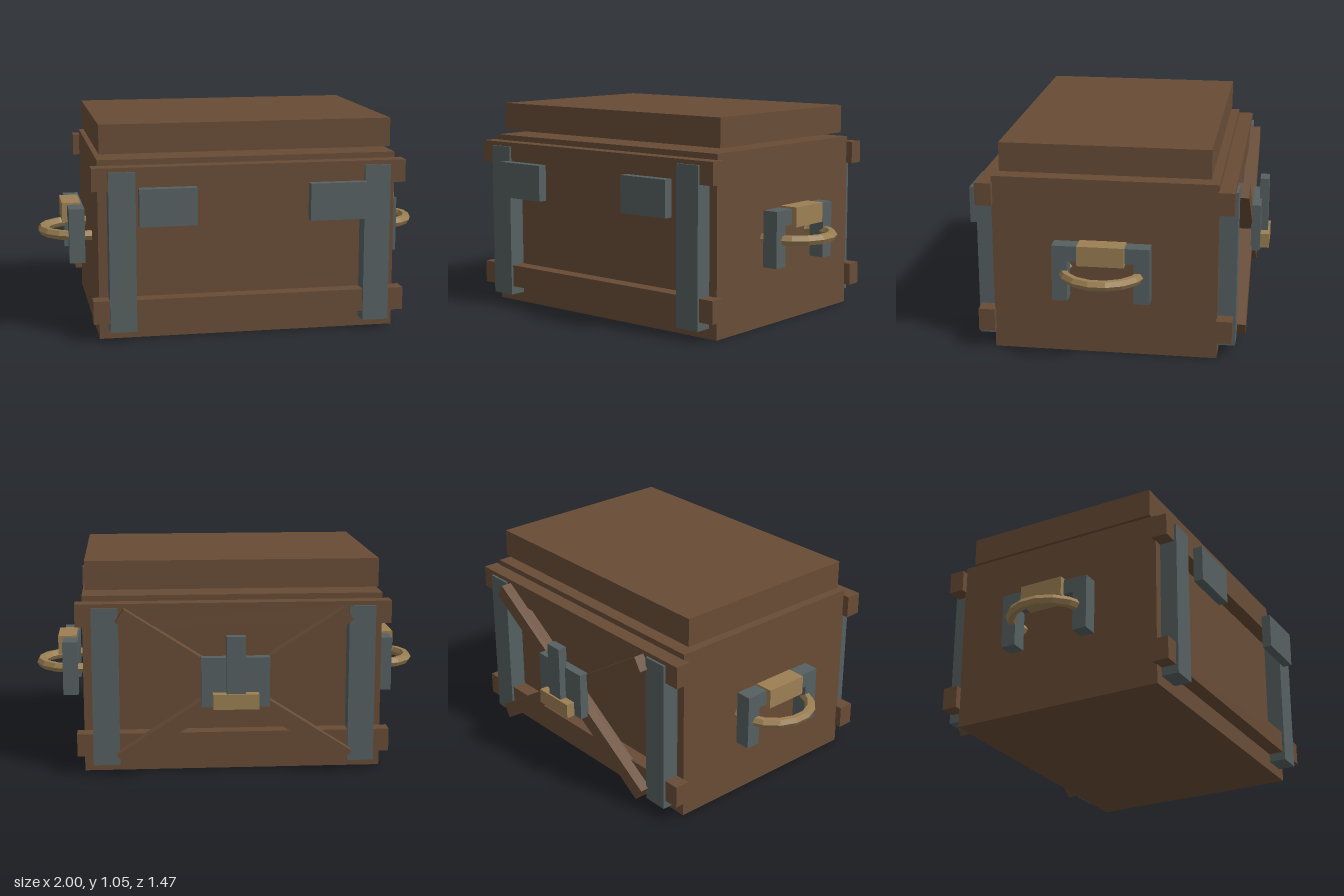
import * as THREE from 'three';

export function createModel() {
  const model = new THREE.Group();
  model.name = 'crate';

  const mat = (name, color) => {
    const m = new THREE.MeshStandardMaterial({ color });
    m.name = name;
    return m;
  };
  const wood = mat('brown wood', 0x684c36);
  const steel = mat('grey steel', 0x566061);
  const brass = mat('dull brass', 0x9c8054);
  const ringMat = brass.clone();
  ringMat.name = 'dull brass faceted';
  ringMat.flatShading = true;

  // Box given by its extents on each axis
  const box = (name, material, [x0, x1], [y0, y1], [z0, z1], parent = model) => {
    const mesh = new THREE.Mesh(new THREE.BoxGeometry(x1 - x0, y1 - y0, z1 - z0), material);
    mesh.position.set((x0 + x1) / 2, (y0 + y1) / 2, (z0 + z1) / 2);
    mesh.name = name;
    parent.add(mesh);
    return mesh;
  };

  // Chest and raised lid
  box('body', wood, [-0.74, 0.74], [0, 0.885], [-0.519, 0.581]);
  box('lid', wood, [-0.726, 0.726], [0.907, 1.05], [-0.479, 0.542]);

  // Horizontal rails and vertical straps, front and back
  const faces = [
    { label: 'front', rail: [0.575, 0.656], strap: [0.575, 0.668] },
    { label: 'back', rail: [-0.594, -0.515], strap: [-0.606, -0.515] },
  ];
  for (const { label, rail, strap } of faces) {
    box(label + 'LowerRail', wood, [-0.774, 0.774], [0.095, 0.208], rail);
    box(label + 'UpperRail', wood, [-0.774, 0.774], [0.745, 0.857], rail);
    for (const s of [-1, 1]) {
      const x = s * 0.63;
      box(label + 'Strap', steel, [x - 0.065, x + 0.065], [0.052, 0.836], strap);
    }
  }

  // Front latch plates
  for (const s of [-1, 1]) {
    const x = s * 0.416;
    box('latchPlate', steel, [x - 0.14, x + 0.14], [0.583, 0.765], [0.69, 0.738]);
  }

  // Crossed braces on the back
  for (const s of [-1, 1]) {
    const brace = box('crossBrace', wood, [-0.665, 0.665], [0.4065, 0.4835], [-0.65, -0.581]);
    brace.rotation.z = s * 0.576;
  }

  // Back lock: plate, hasp and brass catch
  const lock = new THREE.Group();
  lock.name = 'lock';
  box('lockPlate', steel, [-0.167, 0.167], [0.36, 0.605], [-0.692, -0.645], lock);
  box('hasp', steel, [-0.046, 0.046], [0.42, 0.714], [-0.727, -0.68], lock);
  box('catch', brass, [-0.112, 0.112], [0.358, 0.433], [-0.737, -0.69], lock);
  model.add(lock);

  // Side handles: bracket, brass grip block and ring
  for (const s of [-1, 1]) {
    const handle = new THREE.Group();
    handle.name = s > 0 ? 'leftHandle' : 'rightHandle';
    const span = (a, b) => (s > 0 ? [a, b] : [-b, -a]);
    box('bracketBar', steel, span(0.778, 0.857), [0.512, 0.588], [-0.13, 0.197], handle);
    box('bracketLeg', steel, span(0.778, 0.857), [0.31, 0.588], [0.194, 0.268], handle);
    box('bracketLeg', steel, span(0.778, 0.857), [0.31, 0.588], [-0.203, -0.128], handle);
    box('gripBlock', brass, span(0.788, 0.883), [0.5, 0.598], [-0.084, 0.143], handle);

    const ringGeometry = new THREE.TorusGeometry(0.194, 0.026, 6, 16);
    ringGeometry.rotateZ(Math.PI / 16).rotateX(Math.PI / 2);
    const ring = new THREE.Mesh(ringGeometry, ringMat);
    ring.name = 'handleRing';
    ring.position.set(s * 0.784, 0.443, 0.03);
    handle.add(ring);
    model.add(handle);
  }

  return model;
}
